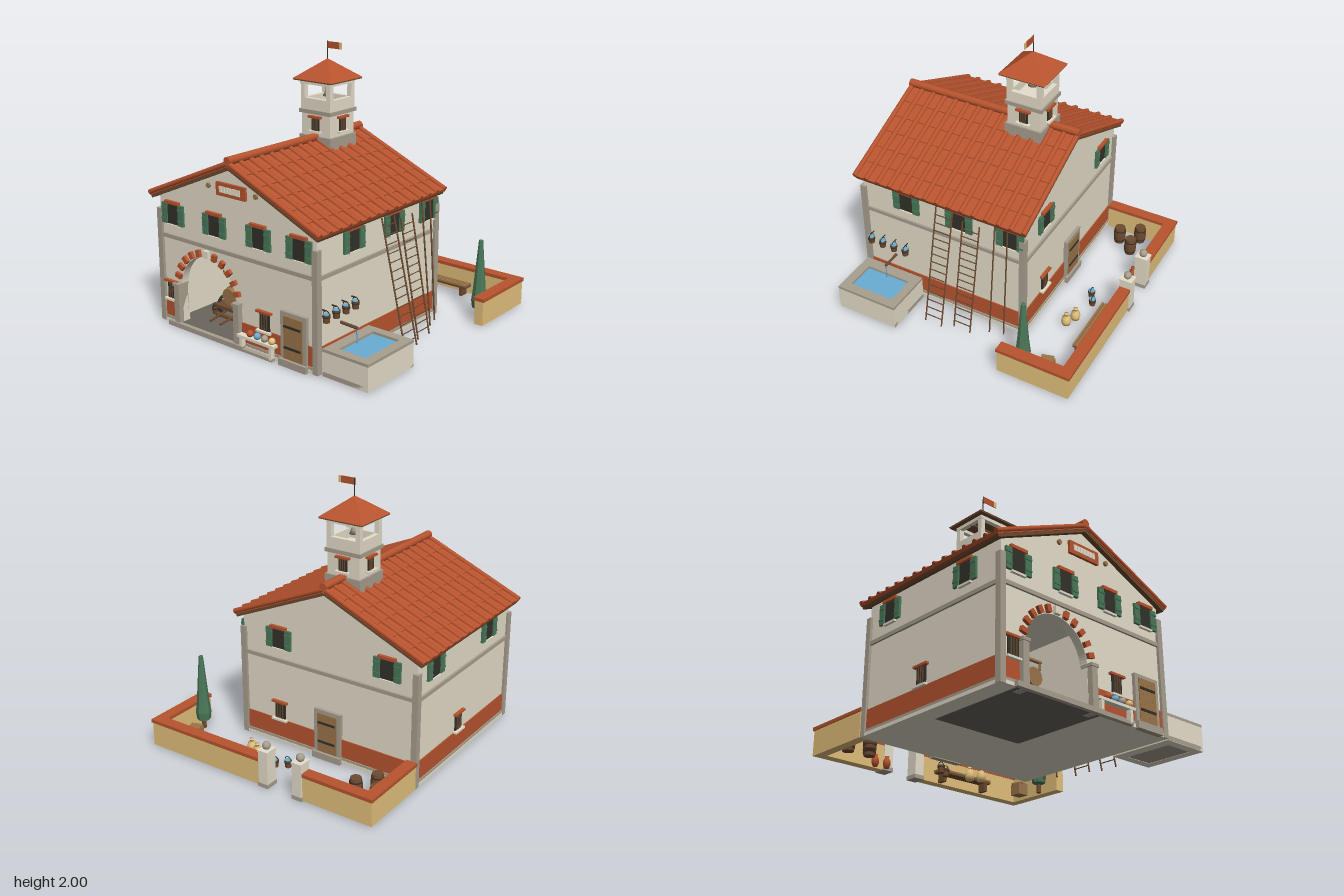
import * as THREE from 'three';
import { mergeGeometries } from 'three/addons/utils/BufferGeometryUtils.js';

const mat = (name, color) => Object.assign(new THREE.MeshStandardMaterial({ color }), { name });
const M = {
  cream: mat('cream plaster', 0xe6dfcb), stone: mat('grey stone', 0xa89f8f),
  red: mat('terracotta', 0xb9542f), green: mat('shutter green', 0x4a7859),
  dark: mat('dark iron', 0x33312a), wood: mat('oak wood', 0x9c7549),
  brown: mat('dark wood', 0x6e4b30), tan: mat('ochre', 0xe4c17c), blue: mat('water blue', 0x6aaed4),
  paving: mat('paving grey', 0x6a655c),
};

function add(parent, name, geo, m, x = 0, y = 0, z = 0) {
  const mesh = new THREE.Mesh(geo, m);
  mesh.name = name;
  mesh.position.set(x, y, z);
  parent.add(mesh);
  return mesh;
}
function group(parent, name, x = 0, y = 0, z = 0, ry = 0) {
  const g = new THREE.Group();
  g.name = name;
  g.position.set(x, y, z);
  g.rotation.y = ry;
  parent.add(g);
  return g;
}
// Box given by its limits on each axis
const box = (p, name, m, x0, x1, y0, y1, z0, z1) =>
  add(p, name, new THREE.BoxGeometry(x1 - x0, y1 - y0, z1 - z0), m, (x0 + x1) / 2, (y0 + y1) / 2, (z0 + z1) / 2);
const cyl = (p, name, m, x, y, z, rTop, rBottom, h, n = 12) =>
  add(p, name, new THREE.CylinderGeometry(rTop, rBottom, h, n), m, x, y, z);
// Round bar between two points
function rod(p, name, m, a, b, r) {
  const A = new THREE.Vector3(...a), d = new THREE.Vector3(...b).sub(A);
  const mesh = cyl(p, name, m, 0, 0, 0, r, r, d.length(), 6);
  mesh.position.copy(A).addScaledVector(d, 0.5);
  mesh.quaternion.setFromUnitVectors(new THREE.Vector3(0, 1, 0), d.normalize());
}
const lathe = (p, name, m, pts, x, y, z, n = 12) =>
  add(p, name, new THREE.LatheGeometry(pts.map(q => new THREE.Vector2(...q)), n), m, x, y, z);

const X0 = -0.91, X1 = 0.55, Z0 = -0.40, Z1 = 0.92, RX = -0.185, SLOPE = Math.atan(0.43);

// Openings are built on a wall group whose +z points outward
function barredWindow(w, u, y0, y1, width) {
  const g = group(w, 'barredWindow', u), h = width / 2;
  box(g, 'opening', M.dark, -h, h, y0, y1, 0, 0.009);
  box(g, 'lintel', M.red, -h - 0.022, h + 0.022, y1, y1 + 0.016, 0, 0.025);
  box(g, 'sill', M.cream, -h - 0.02, h + 0.02, y0 - 0.015, y0, 0, 0.03);
  for (let i = -1; i <= 1; i++) box(g, 'bar', M.brown, i * h * 0.5 - 0.003, i * h * 0.5 + 0.003, y0, y1, 0.009, 0.015);
}
function shutteredWindow(w, u) {
  const g = group(w, 'shutteredWindow', u);
  box(g, 'opening', M.dark, -0.055, 0.055, 0.76, 0.91, 0, 0.009);
  box(g, 'lintel', M.red, -0.07, 0.07, 0.91, 0.932, 0, 0.025);
  box(g, 'sill', M.cream, -0.06, 0.06, 0.745, 0.76, 0, 0.02);
  for (const s of [-1, 1]) {
    box(g, 'shutter', M.green, s * 0.082 - 0.026, s * 0.082 + 0.026, 0.76, 0.91, 0, 0.018);
    for (const y of [0.79, 0.87]) box(g, 'batten', M.green, s * 0.082 - 0.024, s * 0.082 + 0.024, y, y + 0.012, 0.018, 0.024);
  }
}
function door(w, u) {
  const g = group(w, 'door', u);
  box(g, 'doorFrame', M.stone, -0.113, 0.113, 0.03, 0.385, 0, 0.025);
  for (let i = 0; i < 4; i++) box(g, 'plank', M.wood, -0.081 + i * 0.041, -0.041 + i * 0.041, 0.055, 0.357, 0.02, 0.032);
  for (const y of [0.13, 0.28]) box(g, 'hinge', M.dark, -0.075, 0.07, y, y + 0.016, 0.03, 0.038);
  box(g, 'doorstep', M.stone, -0.12, 0.12, 0, 0.05, 0, 0.045);
}
function bucket(p, x, y, z, fill) {
  const g = group(p, 'bucket', x, y, z);
  cyl(g, 'staves', M.brown, 0, 0.028, 0, 0.027, 0.022, 0.056);
  cyl(g, 'hoop', M.dark, 0, 0.04, 0, 0.028, 0.0275, 0.008);
  cyl(g, 'contents', fill, 0, 0.057, 0, 0.024, 0.024, 0.004);
  add(g, 'handle', new THREE.TorusGeometry(0.025, 0.003, 5, 12, Math.PI), M.dark, 0, 0.056, 0);
}
function barrel(p, m, x, y, z, r, h) {
  const g = group(p, 'barrel', x, y, z);
  lathe(g, 'staves', m, [[r * 0.85, -h / 2], [r, -h / 6], [r, h / 6], [r * 0.85, h / 2]], 0, 0, 0, 14);
  cyl(g, 'barrelEnds', m, 0, 0, 0, r * 0.85, r * 0.85, h, 14);
  for (const t of [-0.3, 0.3]) cyl(g, 'hoop', M.dark, 0, t * h, 0, r * 0.97, r * 0.97, 0.01, 14);
  return g;
}

function buildHouse(root) {
  const h = group(root, 'house');
  // Front gable with arched bay opening; plain gable behind
  const gable = (arch) => {
    const s = new THREE.Shape();
    s.moveTo(X0, 0.03);
    if (arch) {
      s.lineTo(-0.715, 0.03); s.lineTo(-0.715, 0.31);
      s.absarc(-0.445, 0.31, 0.27, Math.PI, 0, true);
      s.lineTo(-0.175, 0.03);
    }
    s.lineTo(X1, 0.03); s.lineTo(X1, 0.962); s.lineTo(RX, 1.278); s.lineTo(X0, 0.962);
    return new THREE.ExtrudeGeometry(s, { depth: 0.06, bevelEnabled: false, curveSegments: 24 });
  };
  add(h, 'frontWall', gable(true), M.cream, 0, 0, Z1 - 0.06);
  add(h, 'backWall', gable(false), M.cream, 0, 0, Z0);
  box(h, 'sideWall', M.cream, X0, X0 + 0.05, 0.03, 0.955, Z0 + 0.05, Z1 - 0.05);
  box(h, 'sideWall', M.cream, X1 - 0.05, X1, 0.03, 0.955, Z0 + 0.05, Z1 - 0.05);
  box(h, 'foundation', M.cream, X0 - 0.018, X1 + 0.018, 0.006, 0.03, Z0 - 0.018, Z1 + 0.018);
  // Cart bay
  box(h, 'bayFloor', M.paving, -0.8, -0.09, 0.002, 0.034, 0.2, 0.94);
  box(h, 'bayStep', M.stone, -0.82, -0.08, 0, 0.035, 0.94, 0.972);
  box(h, 'bayBackWall', M.cream, -0.82, -0.08, 0.03, 0.64, 0.17, 0.2);
  for (const x of [-0.82, -0.1]) box(h, 'baySideWall', M.cream, x, x + 0.02, 0.03, 0.64, 0.2, 0.87);
  box(h, 'bayCeiling', M.cream, -0.82, -0.08, 0.62, 0.64, 0.2, 0.87);
  for (const x of [-0.74, -0.148]) {
    box(h, 'archPillar', M.stone, x - 0.025, x + 0.025, 0, 0.31, 0.87, 0.96);
    box(h, 'archPillarCap', M.stone, x - 0.032, x + 0.032, 0.308, 0.33, 0.87, 0.967);
  }
  for (let k = -5; k <= 5; k++) {
    const a = k * Math.PI / 12, key = k === 0;
    add(h, key ? 'keystone' : 'archStone', new THREE.BoxGeometry(key ? 0.048 : 0.036, 0.052, 0.05), key ? M.cream : M.red,
      -0.445 - 0.3 * Math.sin(a), 0.31 + 0.3 * Math.cos(a), 0.92).rotation.z = a;
  }
  // Corner piers
  for (const x of [X0 - 0.02, X1 - 0.025]) for (const z of [Z0 - 0.02, Z1 - 0.025])
    box(h, 'cornerPier', M.stone, x, x + 0.045, 0.006, 0.86, z, z + 0.045);

  const front = group(h, 'frontDetails', 0, 0, Z1), back = group(h, 'backDetails', 0, 0, Z0, Math.PI);
  const left = group(h, 'leftDetails', X1, 0, 0, Math.PI / 2), right = group(h, 'rightDetails', X0, 0, 0, -Math.PI / 2);
  // Plinth, painted dado and string course on each wall
  const bands = [[front, [[X0, -0.765], [-0.12, X1]], X0, X1], [back, [[-X1, -X0]], -X1, -X0],
    [left, [[-Z1, -Z0]], -Z1, -Z0], [right, [[Z0, Z1]], Z0, Z1]];
  for (const [w, parts, a, b] of bands) {
    for (const [p, q] of parts) {
      box(w, 'plinth', M.stone, p, q, 0.02, 0.05, 0, 0.015);
      box(w, 'dado', M.red, p, q, 0.05, 0.19, 0, 0.008);
    }
    box(w, 'stringCourse', M.stone, a, b, 0.652, 0.68, 0, 0.015);
  }
  for (const u of [-0.773, -0.36, 0.053, 0.41]) shutteredWindow(front, u);
  for (const u of [-0.23, 0.68]) shutteredWindow(back, u);
  for (const u of [-0.55, -0.11, 0.3]) shutteredWindow(left, u);
  for (const u of [-0.17, 0.6]) shutteredWindow(right, u);
  barredWindow(front, -0.815, 0.19, 0.315, 0.09);
  barredWindow(front, 0.092, 0.19, 0.315, 0.09);
  barredWindow(back, -0.23, 0.2, 0.325, 0.09);
  barredWindow(right, 0.19, 0.2, 0.325, 0.09);
  door(front, 0.365);
  door(back, 0.2);
  // Gable vent panel and wall anchors
  box(front, 'ventFrame', M.red, -0.32, -0.05, 1.068, 1.16, 0, 0.02);
  for (let i = 0; i < 7; i++) box(front, 'ventSlat', M.cream, -0.285 + i * 0.0285, -0.262 + i * 0.0285, 1.093, 1.136, 0.018, 0.026);
  for (const x of [-0.405, 0.035]) cyl(front, 'wallAnchor', M.wood, x, 1.115, 0.006, 0.018, 0.018, 0.016).rotation.x = Math.PI / 2;
  // Buckets on hooks
  for (const z of [0.87, 0.77, 0.67, 0.57]) {
    bucket(h, 0.587, 0.365, z, M.blue);
    rod(h, 'hook', M.dark, [X1, 0.445, z], [0.59, 0.445, z], 0.005);
  }
}

function buildRoof(root) {
  const roof = group(root, 'roof'), L = 0.853, zc = 0.26;
  for (const s of [-1, 1]) {
    const g = group(roof, 'roofSlope', RX, 1.28, 0);
    g.rotation.z = -s * SLOPE;
    add(g, 'soffit', new THREE.BoxGeometry(L - 0.01, 0.024, 1.39), M.brown, s * L / 2, -0.005, zc);
    add(g, 'tileBed', new THREE.BoxGeometry(L, 0.016, 1.4), M.red, s * L / 2, 0.013, zc);
    // Overlapping pan tiles between rounded cover rows
    const tiles = [];
    for (let i = 0; i < 15; i++) {
      const z = -0.43 + i * 0.0986;
      tiles.push(new THREE.CylinderGeometry(0.019, 0.019, L, 8).rotateZ(Math.PI / 2).translate(s * L / 2, 0.027, z));
      if (i < 14) for (let k = 0; k < 6; k++)
        tiles.push(new THREE.BoxGeometry(L / 6, 0.008, 0.064).rotateZ(s * 0.045).translate(s * (k + 0.5) * L / 6, 0.021, z + 0.0493));
    }
    add(g, 'roofTiles', mergeGeometries(tiles), M.red);
  }
  cyl(roof, 'ridgeTiles', M.red, RX, 1.325, zc, 0.03, 0.03, 1.41, 10).rotation.x = Math.PI / 2;
}

function buildTower(root) {
  const t = group(root, 'bellTower', RX, 0, -0.07);
  const sq = (name, m, r, y0, y1) => box(t, name, m, -r, r, y0, y1, -r, r);
  sq('towerFoot', M.stone, 0.147, 1.2, 1.33);
  sq('towerBody', M.cream, 0.132, 1.33, 1.49);
  sq('towerLedge', M.stone, 0.147, 1.49, 1.518);
  sq('belfryFloor', M.cream, 0.12, 1.518, 1.53);
  for (let i = 0; i < 4; i++) {
    const w = group(t, 'towerSide', 0, 0, 0, i * Math.PI / 2);
    barredWindow(group(w, 'towerWall', 0, 0, 0.132), 0, 1.37, 1.462, 0.07);
    box(w, 'parapet', M.cream, -0.137, 0.137, 1.518, 1.6, 0.105, 0.137);
    box(w, 'belfryPost', M.cream, 0.1, 0.137, 1.57, 1.72, 0.1, 0.137);
    box(w, 'belfryBeam', M.cream, -0.14, 0.14, 1.7, 1.735, 0.105, 0.14);
  }
  rod(t, 'bellBeam', M.brown, [-0.12, 1.71, 0], [0.12, 1.71, 0], 0.012);
  box(t, 'bellYoke', M.brown, -0.036, 0.036, 1.677, 1.7, -0.015, 0.015);
  lathe(t, 'bell', M.stone, [[0, 0.005], [0.036, 0], [0.022, 0.03], [0.018, 0.072], [0, 0.078]], 0, 1.605, 0);
  // Pyramid roof, pole and pennant
  add(t, 'towerEaves', new THREE.BoxGeometry(0.35, 0.012, 0.35), M.brown, 0, 1.732, 0);
  const cap = new THREE.ConeGeometry(0.18 * Math.SQRT2, 0.14, 4).rotateY(Math.PI / 4).toNonIndexed();
  cap.computeVertexNormals();
  add(t, 'towerRoof', cap, M.red, 0, 1.806, 0);
  rod(t, 'flagPole', M.dark, [0, 1.86, 0], [0, 2, 0], 0.004);
  box(t, 'pennant', M.red, 0, 0.108, 1.95, 1.998, -0.003, 0.003);
  box(t, 'pennantTip', M.tan, 0.108, 0.13, 1.95, 1.998, -0.003, 0.003);
}

function buildCart(root) {
  const c = group(root, 'barrelCart', -0.445, 0, 0.62);
  for (const s of [-1, 1]) {
    add(c, 'wheelRim', new THREE.TorusGeometry(0.062, 0.011, 6, 20), M.dark, s * 0.158, 0.108, 0).rotation.y = Math.PI / 2;
    for (let i = 0; i < 4; i++) {
      const y = 0.062 * Math.sin(i * Math.PI / 4), z = 0.062 * Math.cos(i * Math.PI / 4);
      rod(c, 'spokes', M.brown, [s * 0.158, 0.108 - y, -z], [s * 0.158, 0.108 + y, z], 0.006);
    }
    rod(c, 'shaft', M.brown, [s * 0.07, 0.135, -0.15], [s * 0.05, 0.08, 0.25], 0.009);
    rod(c, 'pumpHandle', M.wood, [s * 0.15, 0.342, 0], [s * 0.15, 0.4, 0], 0.008);
    bucket(c, s * 0.2, 0.035, 0.05, M.dark);
  }
  rod(c, 'axle', M.brown, [-0.16, 0.107, 0], [0.16, 0.107, 0], 0.01);
  box(c, 'cartBed', M.brown, -0.12, 0.12, 0.13, 0.155, -0.13, 0.13);
  box(c, 'footBoard', M.brown, -0.1, 0.1, 0.078, 0.095, 0.12, 0.15);
  barrel(c, M.wood, 0, 0.23, 0, 0.074, 0.22).rotation.x = Math.PI / 2;
  cyl(c, 'pump', M.dark, 0, 0.33, 0, 0.022, 0.03, 0.05);
  cyl(c, 'pumpRod', M.dark, 0, 0.37, 0, 0.008, 0.008, 0.05);
  box(c, 'pumpArm', M.wood, -0.16, 0.16, 0.39, 0.404, -0.012, 0.012);
}

function buildYard(root) {
  const y = group(root, 'yard');
  // Trough with water and spout
  box(y, 'troughBase', M.stone, 0.59, 0.965, 0.008, 0.04, 0.43, 0.918);
  for (const [a, b, c, d] of [[0.59, 0.675, 0.43, 0.918], [0.895, 0.965, 0.43, 0.918], [0.675, 0.895, 0.43, 0.495], [0.675, 0.895, 0.85, 0.918]]) {
    box(y, 'troughSide', M.cream, a, b, 0.006, 0.18, c, d);
    box(y, 'troughRim', M.stone, a, b, 0.18, 0.2, c, d);
  }
  box(y, 'water', M.blue, 0.67, 0.9, 0.03, 0.182, 0.49, 0.855);
  rod(y, 'spout', M.brown, [X1, 0.295, 0.68], [0.69, 0.29, 0.68], 0.011);
  rod(y, 'waterJet', M.blue, [0.685, 0.29, 0.68], [0.69, 0.18, 0.68], 0.005);
  // Leaning ladders and poles
  for (const [z0, z1, fx, hy] of [[0.145, 0.28, 0.79, 0.92], [-0.07, 0.065, 0.745, 0.87]]) {
    const g = group(y, 'ladder');
    for (const z of [z0, z1]) rod(g, 'rail', M.brown, [fx, 0.01, z], [0.578, hy, z], 0.006);
    for (let i = 1; i < 15; i++) {
      const t = i / 15, x = fx + (0.578 - fx) * t;
      rod(g, 'rung', M.brown, [x, hy * t, z0], [x, hy * t, z1], 0.004);
    }
  }
  rod(y, 'pole', M.brown, [0.67, 0.01, -0.19], [0.575, 0.92, -0.19], 0.006);
  rod(y, 'pole', M.brown, [0.64, 0.01, -0.29], [0.575, 0.92, -0.29], 0.006);
  // Garden walls with tiled coping, gate piers with balls
  for (const [a, b, c, d] of [[-0.94, -0.34, -0.98, -0.895], [-0.06, 0.975, -0.98, -0.895], [-0.94, -0.855, -0.91, -0.42], [0.888, 0.975, -0.91, -0.415]]) {
    box(y, 'gardenWall', M.tan, a + 0.008, b - 0.008, 0.008, 0.19, c + 0.008, d - 0.004);
    box(y, 'wallCoping', M.red, a, b, 0.19, 0.215, c, d);
  }
  for (const x of [-0.345, -0.06]) {
    box(y, 'gatePier', M.cream, x - 0.038, x + 0.038, 0.01, 0.275, -0.984, -0.891);
    box(y, 'pierBase', M.stone, x - 0.042, x + 0.042, 0.006, 0.035, -0.988, -0.887);
    box(y, 'pierCap', M.cream, x - 0.042, x + 0.042, 0.27, 0.285, -0.988, -0.887);
    add(y, 'pierBall', new THREE.SphereGeometry(0.03, 14, 10), M.stone, x, 0.31, -0.937);
  }
  // Cypress, barrels, pots, sacks, buckets and crate
  cyl(y, 'trunk', M.brown, 0.845, 0.04, -0.56, 0.018, 0.018, 0.07);
  const tree = new THREE.LatheGeometry([[0, 0.06], [0.05, 0.08], [0.058, 0.14], [0.046, 0.24], [0.03, 0.43], [0.016, 0.597], [0, 0.6]].map(q => new THREE.Vector2(...q)), 8).toNonIndexed();
  tree.computeVertexNormals();
  add(y, 'cypress', tree, M.green, 0.845, 0, -0.56);
  for (const [x, z] of [[-0.81, -0.725], [-0.64, -0.715], [-0.73, -0.585]]) barrel(y, M.brown, x, 0.08, z, 0.047, 0.14);
  for (const [x, z] of [[-0.48, -0.865], [-0.39, -0.85]])
    lathe(y, 'pot', M.red, [[0, 0], [0.016, 0], [0.028, 0.03], [0.027, 0.055], [0.014, 0.075], [0.018, 0.088], [0.01, 0.085], [0, 0.06]], x, 0.006, z);
  for (const [x, z] of [[0.24, -0.67], [0.32, -0.635]]) {
    lathe(y, 'sack', M.tan, [[0, 0], [0.03, 0], [0.037, 0.03], [0.03, 0.065], [0.01, 0.085], [0.017, 0.1], [0, 0.1]], x, 0.006, z, 10);
    cyl(y, 'sackTie', M.brown, x, 0.091, z, 0.013, 0.013, 0.006, 10);
  }
  bucket(y, -0.035, 0.006, -0.67, M.blue);
  bucket(y, 0.045, 0.006, -0.715, M.blue);
  const crate = group(y, 'crate', 0.79, 0, -0.72);
  box(crate, 'crateBox', M.wood, -0.045, 0.045, 0.006, 0.09, -0.045, 0.045);
  box(crate, 'crateLid', M.wood, -0.045, 0.045, 0.09, 0.1, -0.045, 0.045).rotation.y = 0.3;
  // Garden bench
  const bench = group(y, 'bench', 0.323, 0, 0);
  for (let i = 0; i < 4; i++) box(bench, 'benchSlat', M.wood, -0.247, 0.247, 0.085, 0.098, -0.888 + i * 0.022, -0.873 + i * 0.022);
  box(bench, 'benchFrame', M.brown, -0.245, 0.245, 0.07, 0.086, -0.888, -0.808);
  for (const x of [-0.2, 0.2]) box(bench, 'benchLeg', M.brown, x - 0.012, x + 0.012, 0.006, 0.07, -0.88, -0.81);
  // Display table with bowls by the front wall
  const table = group(y, 'displayTable', 0.04, 0, 0);
  box(table, 'tableTop', M.cream, -0.17, 0.17, 0.1, 0.12, 0.928, 0.974);
  box(table, 'tableFoot', M.stone, -0.15, 0.15, 0, 0.02, 0.935, 0.97);
  for (const x of [-0.135, 0.135]) box(table, 'tableLeg', M.cream, x - 0.012, x + 0.012, 0.01, 0.1, 0.935, 0.97);
  [M.red, M.blue, M.stone, M.tan].forEach((m, i) =>
    add(table, 'jar', new THREE.SphereGeometry(0.025, 14, 10), m, -0.063 + i * 0.067, 0.143, 0.95));
}

export function createModel() {
  const root = new THREE.Group();
  root.name = 'villa';
  for (const build of [buildHouse, buildRoof, buildTower, buildCart, buildYard]) build(root);
  return root;
}
